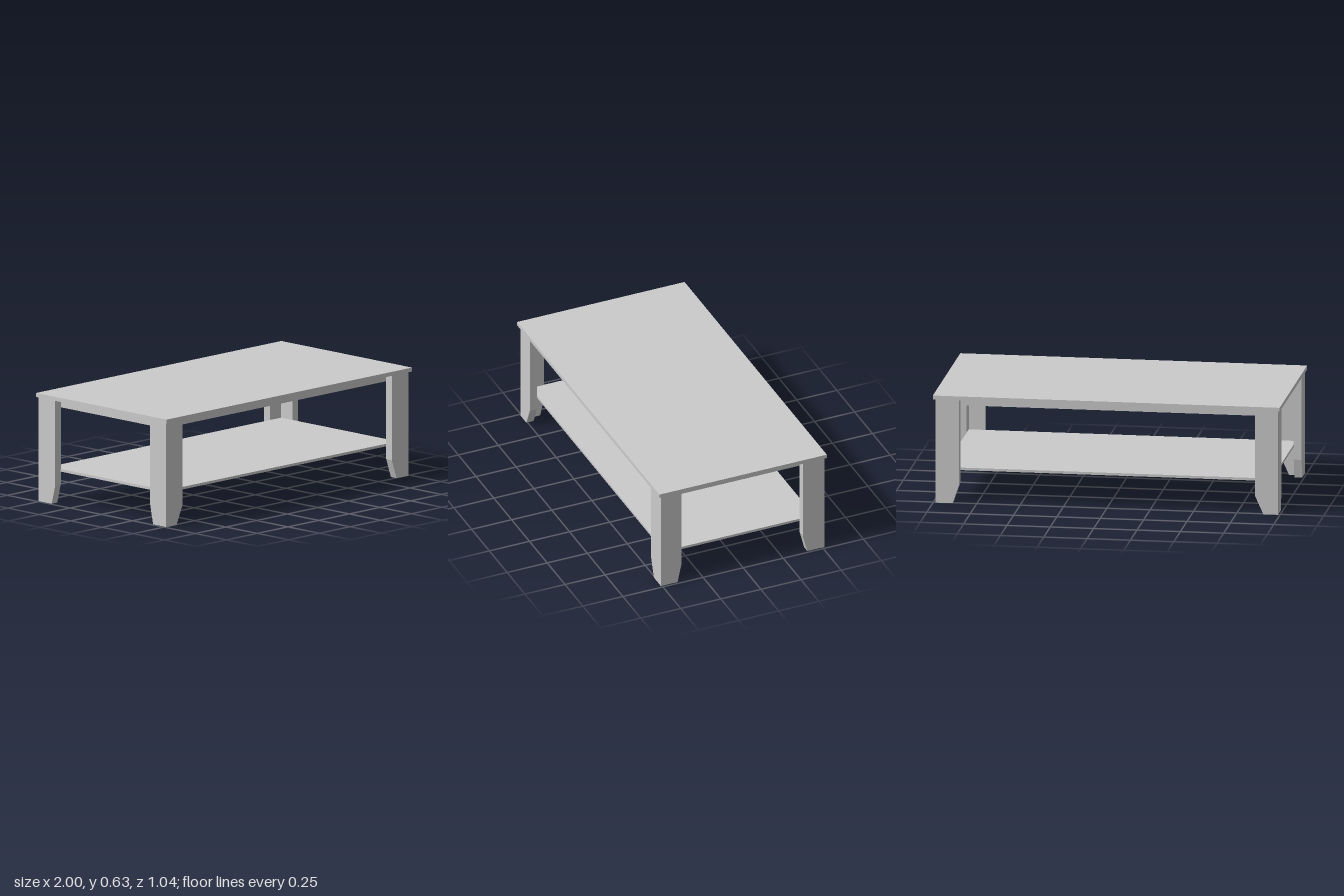
import * as THREE from 'three';

export function createModel() {
  const table = new THREE.Group();
  table.name = 'coffeeTable';
  const material = new THREE.MeshStandardMaterial({ color: 0xcccccc, flatShading: true });

  const add = (parent, name, geometry) => {
    const mesh = new THREE.Mesh(geometry, material);
    mesh.name = name;
    parent.add(mesh);
    return mesh;
  };
  const box = (name, x0, x1, y0, y1, z0, z1) =>
    add(table, name, new THREE.BoxGeometry(x1 - x0, y1 - y0, z1 - z0))
      .position.set((x0 + x1) / 2, (y0 + y1) / 2, (z0 + z1) / 2);

  const legTop = 0.607, taperTop = 0.11, thick = 0.045;

  // Upright leg board whose inner edge tapers towards the foot
  const board = (outer, inner, foot) => new THREE.ExtrudeGeometry(
    new THREE.Shape([
      new THREE.Vector2(outer, 0), new THREE.Vector2(foot, 0),
      new THREE.Vector2(inner, taperTop), new THREE.Vector2(inner, legTop),
      new THREE.Vector2(outer, legTop),
    ]), { depth: thick, bevelEnabled: false });

  // Top and lower shelf
  box('tableTop', -1, 1, legTop, 0.63, -0.522, 0.522);
  box('shelf', -0.945, 0.942, 0.185, 0.2, -0.467, 0.462);

  // Aprons under the top, set behind the leg boards
  const railX = 0.942, railZ = 0.462, rail = 0.022;
  for (const s of [-1, 1]) {
    const z = s * (railZ - rail / 2), x = s * (railX - rail / 2);
    box(s > 0 ? 'frontApron' : 'backApron', -railX, railX, 0.564, legTop, z - rail / 2, z + rail / 2);
    box(s > 0 ? 'leftApron' : 'rightApron', x - rail / 2, x + rail / 2, 0.559, legTop, -railZ + rail, railZ - rail);
  }

  // Corner legs: two boards joined in an L; values are outer, inner and foot edge
  const sides = { Left: [0.987, 0.85, 0.888], Right: [-0.989, -0.855, -0.904] };
  const ends = { front: [0.507, 0.38, 0.403], back: [-0.512, -0.378, -0.406] };
  for (const [end, zs] of Object.entries(ends)) {
    for (const [side, xs] of Object.entries(sides)) {
      const leg = new THREE.Group();
      leg.name = `${end}${side}Leg`;
      const sx = Math.sign(xs[0]), sz = Math.sign(zs[0]);
      const wide = board(...xs);
      wide.translate(0, 0, sz > 0 ? zs[0] - thick : zs[0]);
      add(leg, 'legFaceBoard', wide);
      const narrow = board(zs[0] - sz * thick, zs[1], zs[2]);
      narrow.rotateY(-Math.PI / 2);
      narrow.translate(sx > 0 ? xs[0] : xs[0] + thick, 0, 0);
      add(leg, 'legSideBoard', narrow);
      table.add(leg);
    }
  }
  return table;
}
